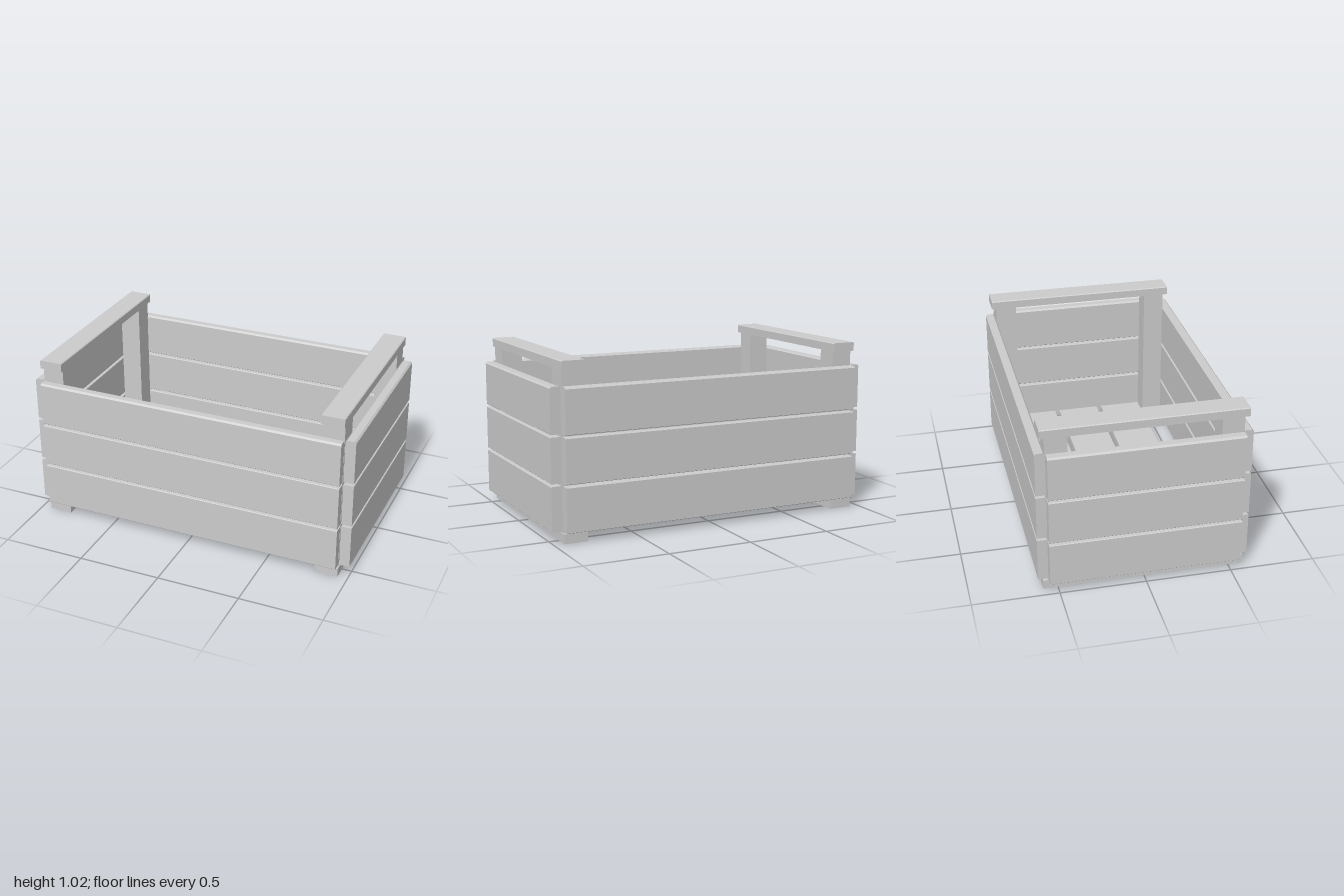
import * as THREE from 'three';

const material = new THREE.MeshStandardMaterial({ color: 0xcccccc, flatShading: true });

// Plank running along z, with its upper and lower long edges chamfered
function plankGeometry(thick, high, long, top = 0, bottom = 0) {
  const x = thick / 2, y = high / 2;
  const points = [[-x + bottom, -y], [x - bottom, -y]];
  if (bottom) points.push([x, -y + bottom]);
  if (top) points.push([x, y - top]);
  points.push([x - top, y], [-x + top, y]);
  if (top) points.push([-x, y - top]);
  if (bottom) points.push([-x, -y + bottom]);
  const shape = new THREE.Shape(points.map(([px, py]) => new THREE.Vector2(px, py)));
  return new THREE.ExtrudeGeometry(shape, { depth: long, bevelEnabled: false }).translate(0, 0, -long / 2);
}

function addPart(group, name, geometry, x, y, z, turn = 0) {
  const mesh = new THREE.Mesh(geometry, material);
  mesh.name = name;
  mesh.position.set(x, y, z);
  mesh.rotation.y = turn;
  group.add(mesh);
}

export function createModel() {
  const crate = new THREE.Group();
  crate.name = 'crate';

  // Wall boards in three courses; the top course has the wider chamfer
  [[0.063, 0.323], [0.338, 0.598], [0.613, 0.877]].forEach(([low, high], i) => {
    const top = i === 2 ? 0.01 : 0.003;
    const y = (low + high) / 2;
    const sideBoard = plankGeometry(0.057, high - low, 1.868, top, 0.003);
    const endBoard = plankGeometry(0.062, high - low, 1.108, top, 0.003);
    for (const s of [-1, 1]) {
      addPart(crate, s > 0 ? 'frontBoard' : 'backBoard', sideBoard, 0, y, s * 0.5835, Math.PI / 2);
      addPart(crate, s > 0 ? 'leftEndBoard' : 'rightEndBoard', endBoard, s * 0.969, y, 0);
    }
  });

  // Corner posts with a handle rail above and a runner below at each end
  const post = new THREE.BoxGeometry(0.128, 0.912, 0.128);
  const rail = plankGeometry(0.14, 0.052, 1.17, 0.005, 0);
  const runner = plankGeometry(0.14, 0.055, 1.17, 0, 0);
  for (const sx of [-1, 1]) {
    for (const sz of [-1, 1]) addPart(crate, 'cornerPost', post, sx * 0.872, 0.511, sz * 0.494);
    addPart(crate, 'handleRail', rail, sx * 0.871, 0.993, 0);
    addPart(crate, 'baseRunner', runner, sx * 0.871, 0.0275, 0);
  }

  // Floor slats resting on the runners, between the posts
  const slat = plankGeometry(0.265, 0.05, 1.868);
  for (const i of [-1, 0, 1]) addPart(crate, 'floorSlat', slat, 0, 0.08, i * 0.295 - 0.002, Math.PI / 2);

  return crate;
}
